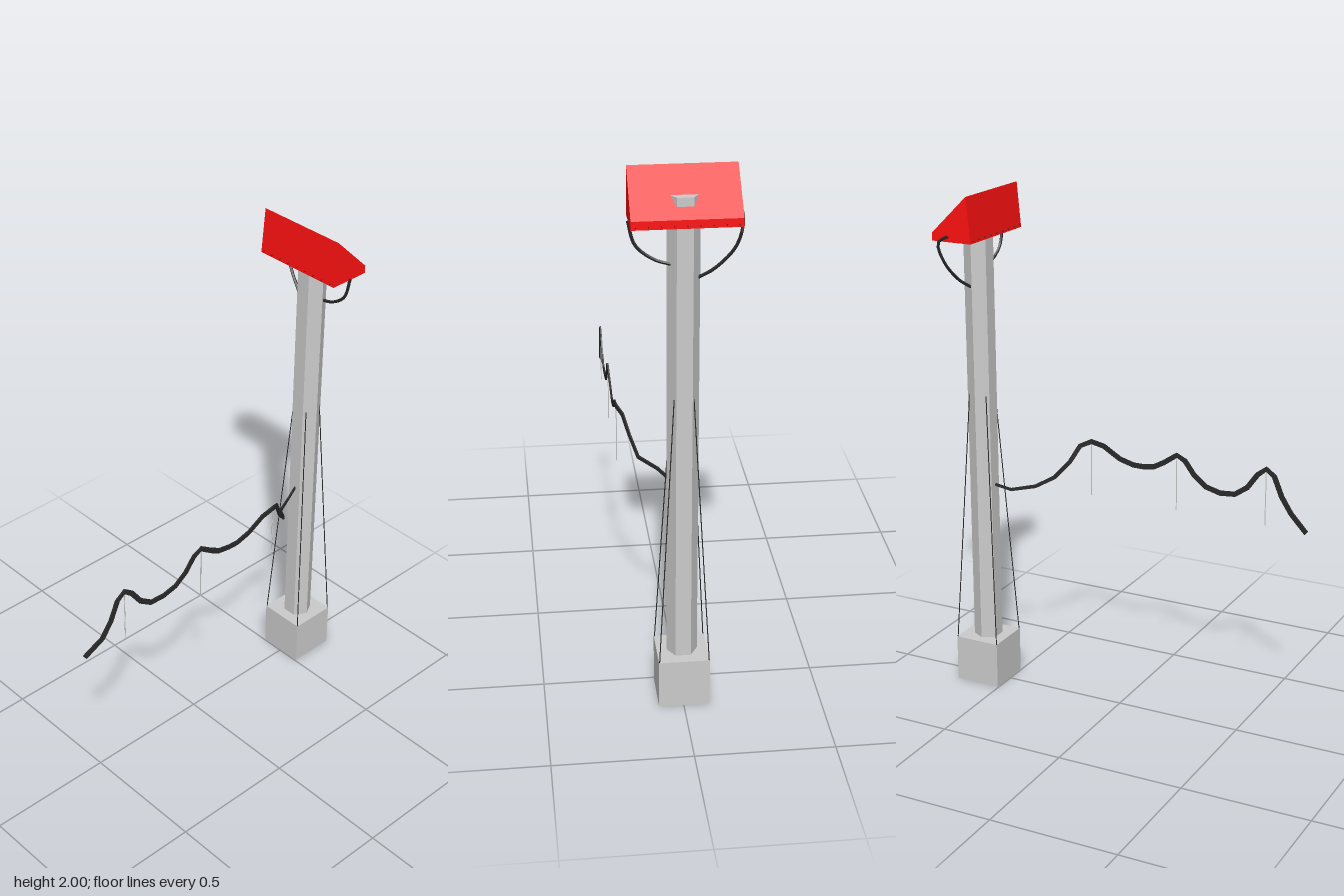
import * as THREE from 'three';

const V = (x, y, z) => new THREE.Vector3(x, y, z);
const mat = (color) => new THREE.MeshStandardMaterial({ color });
const grey = mat(0xcccccc), red = mat(0xff1111), black = mat(0x2a2a2a);
grey.flatShading = red.flatShading = black.flatShading = true;

const CX = 0.597; // mast axis

function add(parent, name, geometry, material, x = 0, y = 0, z = 0) {
  const mesh = new THREE.Mesh(geometry, material);
  mesh.name = name;
  mesh.position.set(x, y, z);
  parent.add(mesh);
  return mesh;
}

// Straight thin rod between two points
function rod(parent, name, a, b, radius, material) {
  const mesh = add(parent, name, new THREE.CylinderGeometry(radius, radius, a.distanceTo(b), 5), material);
  mesh.position.copy(a).add(b).multiplyScalar(0.5);
  mesh.quaternion.setFromUnitVectors(V(0, 1, 0), b.clone().sub(a).normalize());
}

// Flat strap swept along a polyline, tall in the hanging plane and thin across it
function strapGeometry(points, halfHeight, halfThick) {
  const pos = [], idx = [], n = points.length;
  points.forEach((p, i) => {
    const t = points[Math.min(i + 1, n - 1)].clone().sub(points[Math.max(i - 1, 0)]).normalize();
    const side = t.clone().cross(V(0, 1, 0)).normalize();
    const up = side.clone().cross(t);
    const h = halfHeight(i / (n - 1));
    for (const [u, s] of [[1, 1], [-1, 1], [-1, -1], [1, -1]]) {
      const c = p.clone().addScaledVector(up, u * h).addScaledVector(side, s * halfThick);
      pos.push(c.x, c.y, c.z);
    }
    if (i === n - 1) return;
    for (let k = 0; k < 4; k++) {
      const a = i * 4 + k, b = i * 4 + (k + 1) % 4;
      idx.push(a, b, a + 4, b, b + 4, a + 4);
    }
  });
  const e = (n - 1) * 4;
  idx.push(0, 2, 1, 0, 3, 2, e, e + 1, e + 2, e, e + 2, e + 3);
  const g = new THREE.BufferGeometry();
  g.setAttribute('position', new THREE.Float32BufferAttribute(pos, 3));
  g.setIndex(idx);
  g.computeVertexNormals();
  return g;
}

export function createModel() {
  const model = new THREE.Group();
  model.name = 'cableMast';

  // Foundation block and hexagonal mast, which pokes through the sloped head
  add(model, 'foundation', new THREE.BoxGeometry(0.185, 0.185, 0.185), grey, CX, 0.0925, -0.002);
  add(model, 'mast', new THREE.CylinderGeometry(0.056, 0.056, 1.74, 6), grey, CX, 1.05, -0.002);

  // Wedge-shaped head
  const wedge = new THREE.Shape();
  wedge.moveTo(0.515, 1.826);
  wedge.lineTo(0.68, 1.826);
  wedge.lineTo(0.68, 1.856);
  wedge.lineTo(0.531, 2);
  wedge.closePath();
  add(model, 'head', new THREE.ExtrudeGeometry(wedge, { depth: 0.37, bevelEnabled: false }), red, 0, 0, -0.19);

  // Small pins along both long edges of the head
  const pins = new THREE.Group();
  pins.name = 'headPins';
  for (let i = 0; i < 9; i++) {
    const z = -0.175 + i * 0.0425;
    rod(pins, 'pin', V(0.508, 1.836, z), V(0.69, 1.836, z), 0.0015, black);
  }
  model.add(pins);

  // Cables looping from the ends of the head to the mast
  const loops = {
    frontHeadCable: [V(0.6, 1.835, 0.183), V(0.6, 1.75, 0.16), V(0.605, 1.7, 0.1), V(0.612, 1.68, 0.035)],
    backHeadCable: [V(0.605, 1.85, -0.196), V(0.655, 1.82, -0.19), V(0.645, 1.745, -0.168),
      V(0.625, 1.665, -0.1), V(0.605, 1.63, -0.05)],
  };
  for (const [name, pts] of Object.entries(loops)) {
    const curve = new THREE.CatmullRomCurve3(pts);
    add(model, name, new THREE.TubeGeometry(curve, 12, 0.006, 5), black);
  }

  // Four guy wires from the foundation corners up to the mast
  for (const sx of [-1, 1]) for (const sz of [-1, 1]) {
    rod(model, 'guyWire', V(CX + sx * 0.09, 0.185, sz * 0.09 - 0.002),
      V(CX + sx * 0.037, 1.2, sz * 0.034 - 0.002), 0.002, black);
  }

  // Long sagging cable that leaves the mast and hangs over three stakes
  const path = [
    [-0.69, 0.78, 0.177], [-0.62, 0.84, 0.195], [-0.58, 0.9, 0.197], [-0.548, 0.975, 0.198], [-0.515, 1, 0.198],
    [-0.48, 0.972, 0.198], [-0.44, 0.915, 0.197], [-0.39, 0.88, 0.196], [-0.33, 0.875, 0.195], [-0.27, 0.89, 0.196],
    [-0.22, 0.928, 0.197], [-0.18, 0.98, 0.198], [-0.145, 0.998, 0.198], [-0.09, 0.96, 0.196], [-0.05, 0.938, 0.195],
    [0.0, 0.93, 0.196], [0.04, 0.93, 0.197], [0.1, 0.946, 0.197], [0.17, 0.987, 0.198], [0.225, 0.998, 0.198],
    [0.265, 0.98, 0.178], [0.3, 0.915, 0.157], [0.355, 0.85, 0.13], [0.405, 0.825, 0.065], [0.49, 0.812, 0.02],
    [0.55, 0.831, 0.0],
  ].map((p) => V(...p));
  add(model, 'groundCable', strapGeometry(path, (t) => (t < 0.75 ? 0.01 : 0.01 - (t - 0.75) * 0.02), 0.003), black);
  for (const x of [-0.515, -0.145, 0.225]) {
    rod(model, 'stake', V(x, 0.775, 0.197), V(x, 0.995, 0.197), 0.002, grey);
  }

  return model;
}
